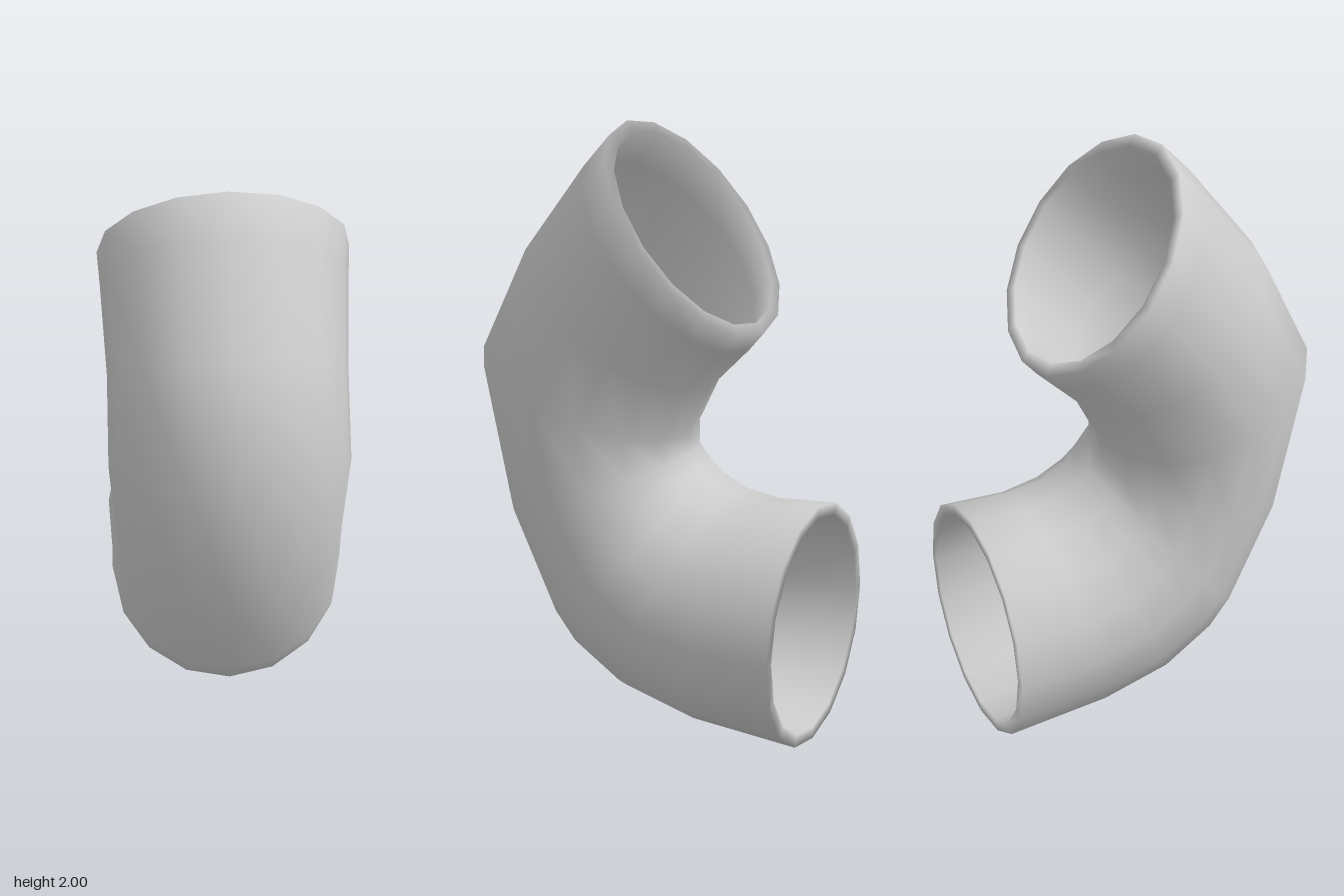
import * as THREE from 'three';

const SIDES = 16;
const WALL = 0.04;

// Sections along the bend: outer bend z, y, inner bend z, y, half width in x
const SECTIONS = [
  [-0.585, 0.003, -0.585, 0.81, 0.4],
  [-0.21, 0.03, -0.39, 0.795, 0.39],
  [0.04, 0.10, -0.28, 0.81, 0.39],
  [0.22, 0.22, -0.20, 0.85, 0.385],
  [0.30, 0.32, -0.16, 0.885, 0.38],
  [0.48, 0.70, -0.12, 0.92, 0.37],
  [0.59, 1.25, -0.12, 0.99, 0.385],
  [0.42, 1.60, -0.20, 1.16, 0.38],
  [0.195, 1.895, -0.335, 1.30, 0.393],
  [0.10, 2.0, -0.385, 1.36, 0.4],
];

// One elliptical ring of the pipe, shrunk by an inset
function addRing(positions, [oz, oy, iz, iy, halfWidth], inset) {
  const cz = (oz + iz) / 2, cy = (oy + iy) / 2;
  const dz = (oz - iz) / 2, dy = (oy - iy) / 2;
  const scale = 1 - inset / Math.hypot(dz, dy);
  for (let j = 0; j < SIDES; j++) {
    const a = (j / SIDES) * Math.PI * 2;
    const c = Math.cos(a) * scale;
    positions.push(Math.sin(a) * (halfWidth - inset), cy + dy * c, cz + dz * c);
  }
}

// Outer skin, rim, inner skin and second rim form one closed loop of rings
function pipeGeometry() {
  const positions = [], index = [];
  SECTIONS.forEach((s) => addRing(positions, s, 0));
  [...SECTIONS].reverse().forEach((s) => addRing(positions, s, WALL));
  const rings = SECTIONS.length * 2;
  for (let i = 0; i < rings; i++) {
    for (let j = 0; j < SIDES; j++) {
      const i2 = ((i + 1) % rings) * SIDES, j2 = (j + 1) % SIDES;
      const a = i * SIDES + j, b = i * SIDES + j2, c = i2 + j2, d = i2 + j;
      index.push(a, b, d, b, c, d);
    }
  }
  const geometry = new THREE.BufferGeometry();
  geometry.setAttribute('position', new THREE.Float32BufferAttribute(positions, 3));
  geometry.setIndex(index);
  geometry.computeVertexNormals();
  return geometry;
}

export function createModel() {
  const group = new THREE.Group();
  group.name = 'pipeElbow';
  const pipe = new THREE.Mesh(pipeGeometry(), new THREE.MeshStandardMaterial({ color: 0xcccccc }));
  pipe.name = 'bentPipe';
  group.add(pipe);
  return group;
}
